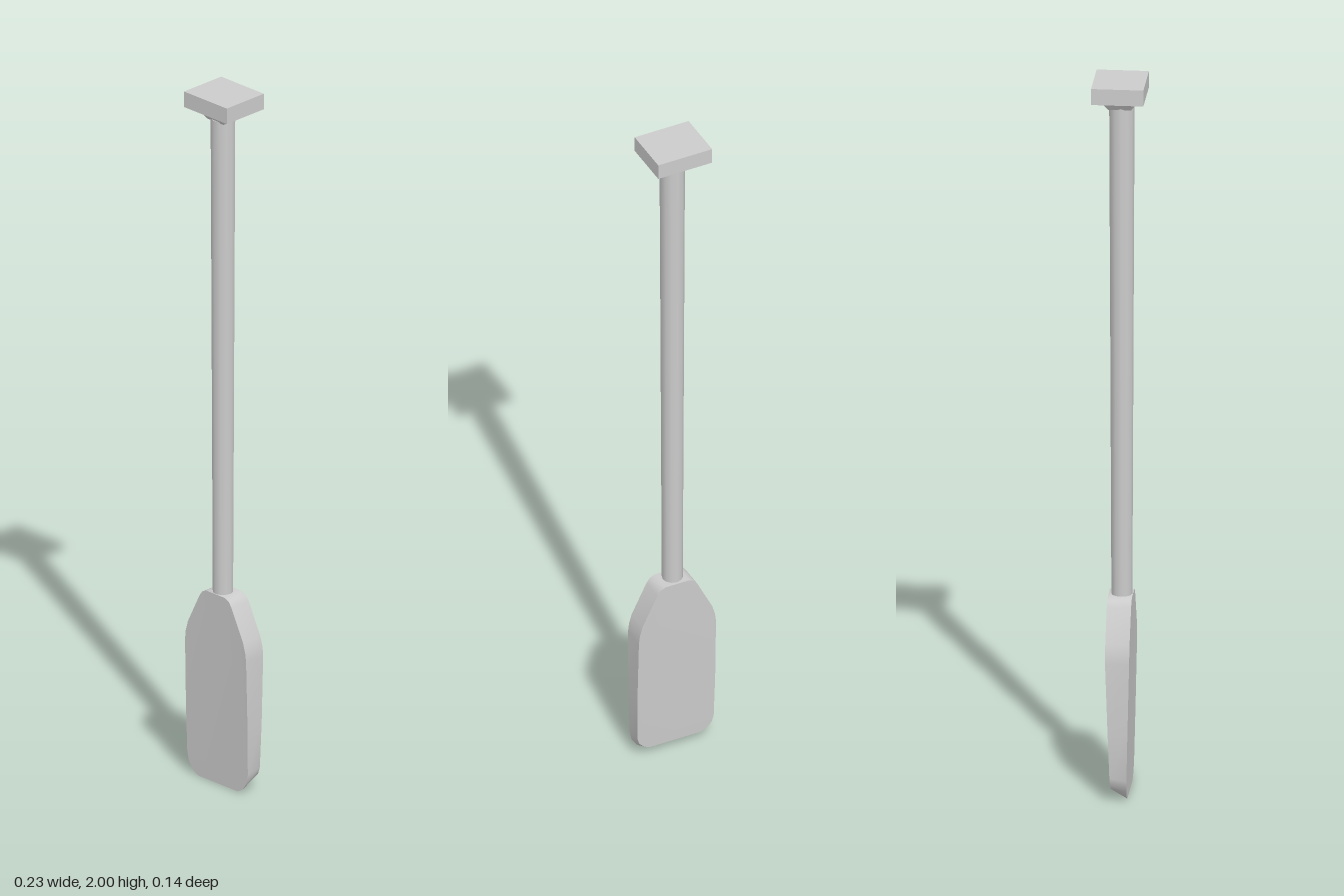
import * as THREE from 'three';
import { toCreasedNormals } from 'three/addons/utils/BufferGeometryUtils.js';

const material = new THREE.MeshStandardMaterial({ color: 0xcccccc });

function addMesh(group, name, geometry, x, y, z) {
  const mesh = new THREE.Mesh(geometry, material);
  mesh.name = name;
  mesh.position.set(x, y, z);
  group.add(mesh);
}

// Square frustum with its sides facing the axes
function squareTaper(topHalf, bottomHalf, height) {
  const g = new THREE.CylinderGeometry(topHalf * Math.SQRT2, bottomHalf * Math.SQRT2, height, 4);
  g.rotateY(Math.PI / 4);
  return toCreasedNormals(g, 0.5);
}

function bladeGeometry() {
  // Right half of the outline from bottom to top, then mirrored
  const half = [[0.075, 0.004], [0.093, 0.014], [0.108, 0.034], [0.114, 0.06], [0.116, 0.2],
    [0.115, 0.39], [0.112, 0.415], [0.104, 0.443], [0.06, 0.532], [0.05, 0.546], [0.035, 0.553]];
  const outline = [...half, ...half.map(([x, y]) => [-x, y]).reverse()];
  const shape = new THREE.Shape(outline.map(([x, y]) => new THREE.Vector2(x, y)));
  const g = new THREE.ExtrudeGeometry(shape, { depth: 1, bevelEnabled: false });

  // Thin the blade toward the tip and slant its bottom edge
  const p = g.attributes.position;
  for (let i = 0; i < p.count; i++) {
    const y = p.getY(i);
    const t = THREE.MathUtils.clamp(y / 0.4, 0, 1);
    if (p.getZ(i) > 0.5) {
      p.setZ(i, THREE.MathUtils.lerp(0.025, 0.034, t));
      p.setY(i, y - 0.004 * Math.max(0, 1 - y / 0.06));
    } else {
      p.setZ(i, THREE.MathUtils.lerp(-0.017, -0.031, t));
      p.setY(i, y + 0.022 * Math.max(0, 1 - y / 0.1));
    }
  }
  return toCreasedNormals(g, 0.6);
}

export function createModel() {
  const paddle = new THREE.Group();
  paddle.name = 'paddle';

  addMesh(paddle, 'blade', bladeGeometry(), 0, 0, 0);

  // Shaft, slightly thicker toward the grip
  addMesh(paddle, 'shaft', new THREE.CylinderGeometry(0.034, 0.028, 1.395, 12), -0.002, 1.2325, 0.004);

  // Flared neck under the grip
  addMesh(paddle, 'neckLower', squareTaper(0.041, 0.03, 0.016), -0.003, 1.933, 0.001);
  addMesh(paddle, 'neckUpper', squareTaper(0.057, 0.041, 0.016), -0.003, 1.949, 0);

  // Flat block grip
  addMesh(paddle, 'grip', new THREE.BoxGeometry(0.161, 0.045, 0.14), -0.003, 1.9775, -0.001);

  return paddle;
}
